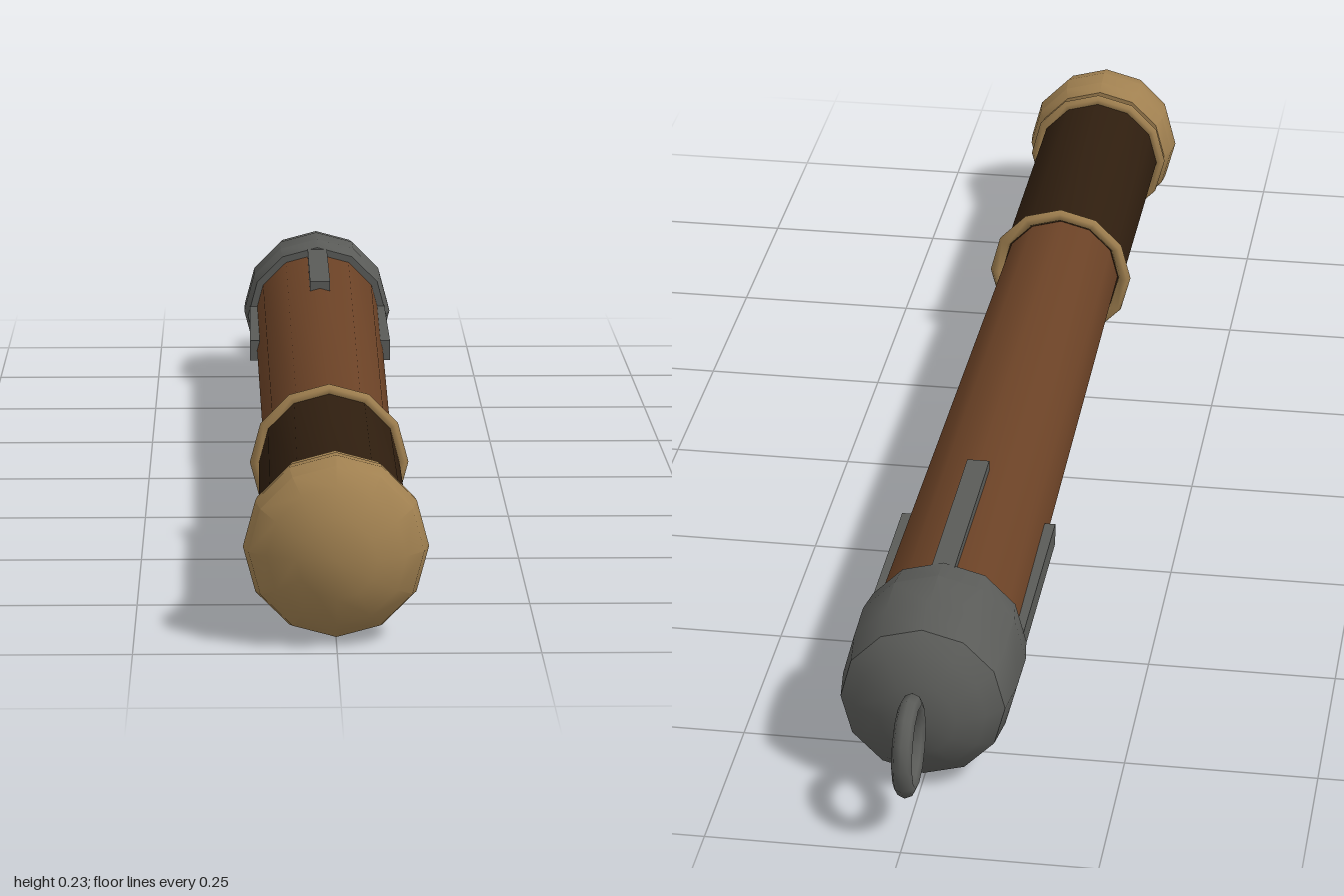
import * as THREE from 'three';
import { toCreasedNormals } from 'three/addons/utils/BufferGeometryUtils.js';

const SIDES = 12;
const AXIS_Y = 0.115;

export function createModel() {
  const material = (name, color) => {
    const m = new THREE.MeshStandardMaterial({ color });
    m.name = name;
    return m;
  };
  const brass = material('brass', 0xa08050);
  const wood = material('wood', 0x6b4226);
  const leather = material('dark leather', 0x2f1e0f);
  const steel = material('steel', 0x5a5b58);

  const model = new THREE.Group();
  model.name = 'baton';
  const body = new THREE.Group();
  body.name = 'body';
  body.position.y = AXIS_Y;
  model.add(body);

  const add = (name, geometry, mat) => {
    const mesh = new THREE.Mesh(geometry, mat);
    mesh.name = name;
    body.add(mesh);
    return mesh;
  };

  // Turned part along z from [radius, z] pairs, listed back to front
  const turned = (name, profile, mat) => {
    const points = profile.map(([r, z]) => new THREE.Vector2(r, z));
    const geometry = new THREE.LatheGeometry(points, SIDES).rotateX(Math.PI / 2);
    return add(name, toCreasedNormals(geometry, 0.54), mat);
  };

  // Rounded pommel, set slightly apart from the grip
  turned('pommel', [
    [0, 0.865], [0.103, 0.865], [0.112, 0.885], [0.115, 0.915],
    [0.108, 0.945], [0.086, 0.97], [0.05, 0.99], [0, 0.998],
  ], brass);

  // Grip and the two collars at its ends
  turned('grip', [[0, 0.425], [0.094, 0.425], [0.094, 0.848], [0, 0.848]], leather);
  for (const [name, z] of [['frontCollar', 0.847], ['rearCollar', 0.423]]) {
    add(name, new THREE.TorusGeometry(0.097, 0.009, 6, SIDES), brass).position.z = z;
  }

  // Slightly flaring shaft
  turned('shaft', [[0, -0.7], [0.098, -0.7], [0.086, 0.43], [0, 0.43]], wood);

  // Heavy head
  turned('head', [
    [0, -0.875], [0.05, -0.868], [0.085, -0.848], [0.106, -0.826],
    [0.113, -0.77], [0.114, -0.7], [0.108, -0.656], [0, -0.656],
  ], steel);

  // Four straps running from the head down the shaft
  for (let i = 0; i < 4; i++) {
    const strap = new THREE.BoxGeometry(0.03, 0.022, 0.32);
    strap.translate(0, 0.094, -0.529).rotateZ((i * Math.PI) / 2);
    add('strap' + (i + 1), strap, steel);
  }

  // Hanging ring
  const ring = add('hangingRing', new THREE.TorusGeometry(0.053, 0.013, 8, SIDES), steel);
  ring.rotation.y = Math.PI / 2;
  ring.position.z = -0.932;

  return model;
}
